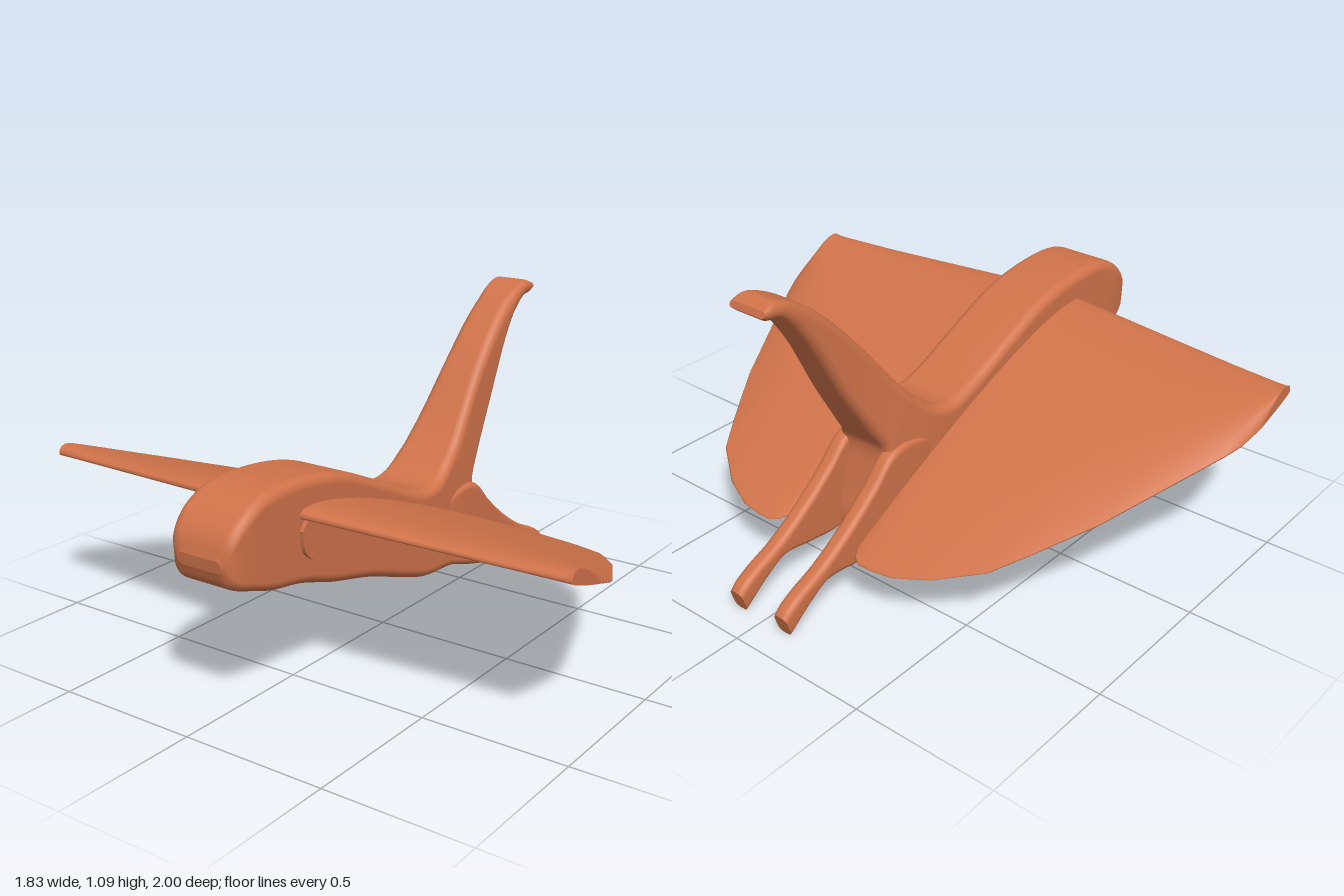
import * as THREE from 'three';

const material = new THREE.MeshStandardMaterial({ color: 0xd0734a, side: THREE.DoubleSide });

// Skin a list of equal-length rings of Vector3 and cap both ends
function loft(rings) {
  const n = rings[0].length, pos = [], index = [];
  rings.forEach(r => r.forEach(p => pos.push(p.x, p.y, p.z)));
  for (let i = 0; i < rings.length - 1; i++) {
    for (let j = 0; j < n; j++) {
      const a = i * n + j, b = i * n + (j + 1) % n;
      index.push(a, b, a + n, b, b + n, a + n);
    }
  }
  [rings[0], rings[rings.length - 1]].forEach((ring, end) => {
    const base = pos.length / 3;
    const centre = new THREE.Vector3();
    ring.forEach(p => { centre.addScaledVector(p, 1 / n); pos.push(p.x, p.y, p.z); });
    pos.push(centre.x, centre.y, centre.z);
    for (let j = 0; j < n; j++) {
      const a = base + j, b = base + (j + 1) % n;
      if (end) index.push(a, b, base + n); else index.push(b, a, base + n);
    }
  });
  // Turn the faces outward if the signed volume is negative
  let volume = 0;
  const v = i => new THREE.Vector3().fromArray(pos, index[i] * 3);
  for (let i = 0; i < index.length; i += 3) volume += v(i).dot(v(i + 1).cross(v(i + 2)));
  if (volume < 0) index.reverse();
  const g = new THREE.BufferGeometry();
  g.setAttribute('position', new THREE.Float32BufferAttribute(pos, 3));
  g.setIndex(index);
  g.computeVertexNormals();
  return g;
}

// Smooth rounded-rectangle sweep; each station is [topX, topY, bottomX, bottomY, halfWidth]
function slab(stations, steps, radius) {
  const top = new THREE.CatmullRomCurve3(stations.map(s => new THREE.Vector3(s[0], s[1], s[4])));
  const bottom = new THREE.CatmullRomCurve3(stations.map(s => new THREE.Vector3(s[2], s[3], 0)));
  const rings = [];
  for (let i = 0; i <= steps; i++) {
    const t = top.getPoint(i / steps), b = bottom.getPoint(i / steps), w = t.z;
    t.z = b.z = 0;
    const mid = t.clone().add(b).multiplyScalar(0.5);
    const up = t.clone().sub(b), h = up.length() / 2;
    up.normalize();
    const r = Math.min(radius, h * 0.9, w * 0.9), ring = [];
    [[1, 1], [-1, 1], [-1, -1], [1, -1]].forEach(([sz, sy], q) => {
      for (let k = 0; k <= 5; k++) {
        const a = (q + k / 5) * Math.PI / 2;
        const p = mid.clone().addScaledVector(up, sy * (h - r) + r * Math.sin(a));
        p.z = sz * (w - r) + r * Math.cos(a);
        ring.push(p);
      }
    });
    rings.push(ring);
  }
  return loft(rings);
}

// Half wing: airfoil sections from root to tip, each [z, trailingX]
function wingGeometry() {
  const plan = [[0.12, 0.61], [0.14, 0.645], [0.17, 0.66], [0.22, 0.66], [0.3, 0.65], [0.42, 0.6],
    [0.56, 0.5], [0.63, 0.4], [0.76, 0.2], [0.86, 0], [0.91, -0.1], [0.96, -0.2], [0.985, -0.26], [1, -0.35]];
  const under = x => 0.5 - (x + 0.3) / 3;
  const n = 24;
  return loft(plan.map(([z, trail]) => {
    const k = (z - 0.12) / 0.88, lead = -0.61 + 0.08 * k;
    const thick = 0.078 - 0.036 * k, ring = [];
    for (let j = 0; j < 2 * n; j++) {
      const upper = j <= n;
      const u = (1 - Math.cos(Math.PI * (upper ? j / n : 2 - j / n))) / 2;
      const x = lead + (trail - lead) * u;
      const bulge = 2.6 * Math.sqrt(u) * (1 - u) * thick;
      const y = under(x) + (upper ? bulge + 0.002 : -0.12 * bulge - 0.002);
      ring.push(new THREE.Vector3(x, y, z + 0.03 * u * (1 - k)));
    }
    return ring;
  }));
}

export function createModel() {
  const model = new THREE.Group();
  const add = (geometry, name) => {
    const m = new THREE.Mesh(geometry, material);
    m.name = name;
    model.add(m);
    return m;
  };

  // Body sweeping up into the tall tail
  add(slab([
    [-0.92, 0.55, -0.915, 0.51, 0.085], [-0.9, 0.61, -0.89, 0.46, 0.115],
    [-0.85, 0.665, -0.8, 0.425, 0.127], [-0.76, 0.71, -0.72, 0.4, 0.127],
    [-0.62, 0.72, -0.58, 0.375, 0.127], [-0.4, 0.69, -0.42, 0.325, 0.127],
    [-0.2, 0.61, -0.22, 0.275, 0.127], [0, 0.52, -0.02, 0.205, 0.127],
    [0.1, 0.493, 0.1, 0.17, 0.127], [0.17, 0.505, 0.27, 0.155, 0.125],
    [0.21, 0.53, 0.44, 0.11, 0.12], [0.24, 0.555, 0.46, 0.14, 0.117],
    [0.27, 0.58, 0.43, 0.3, 0.113], [0.3, 0.61, 0.41, 0.43, 0.11],
    [0.36, 0.68, 0.45, 0.5, 0.1], [0.48, 0.83, 0.55, 0.66, 0.085],
    [0.62, 0.98, 0.67, 0.88, 0.077], [0.71, 1.05, 0.75, 0.99, 0.074],
    [0.78, 1.085, 0.8, 1.035, 0.074], [0.82, 1.095, 0.85, 1.045, 0.074],
    [0.86, 1.08, 0.868, 1.06, 0.07],
  ], 120, 0.035), 'bodyAndTail');

  // Shared shapes of the paired parts
  const leg = slab([
    [0.15, 0.38, 0.15, 0.2, 0.02], [0.28, 0.44, 0.27, 0.16, 0.029], [0.4, 0.435, 0.4, 0.12, 0.03],
    [0.5, 0.345, 0.48, 0.102, 0.03], [0.62, 0.25, 0.6, 0.112, 0.03], [0.74, 0.175, 0.71, 0.122, 0.03],
    [0.84, 0.13, 0.79, 0.08, 0.03], [0.89, 0.1, 0.85, 0.035, 0.03], [0.91, 0.08, 0.885, 0.005, 0.028],
  ], 50, 0.022);
  const wing = wingGeometry();
  const outline = new THREE.Shape();
  outline.moveTo(-0.61, 0.56);
  outline.splineThru([[-0.59, 0.48], [-0.5, 0.43], [-0.3, 0.375], [-0.17, 0.352], [-0.135, 0.385],
    [-0.2, 0.45], [-0.35, 0.515], [-0.55, 0.59], [-0.61, 0.56]].map(p => new THREE.Vector2(...p)));
  const boss = new THREE.ExtrudeGeometry(outline, { depth: 0.06, bevelEnabled: false, curveSegments: 40 });
  boss.translate(0, 0, 0.08);

  // Wings, their root bosses and the rear legs, mirrored across z
  for (const [side, prefix] of [[1, 'front'], [-1, 'back']]) {
    add(wing, prefix + 'Wing').scale.z = side;
    add(boss, prefix + 'WingRoot').scale.z = side;
    add(leg, prefix + 'Leg').position.z = side * 0.098;
  }
  return model;
}
